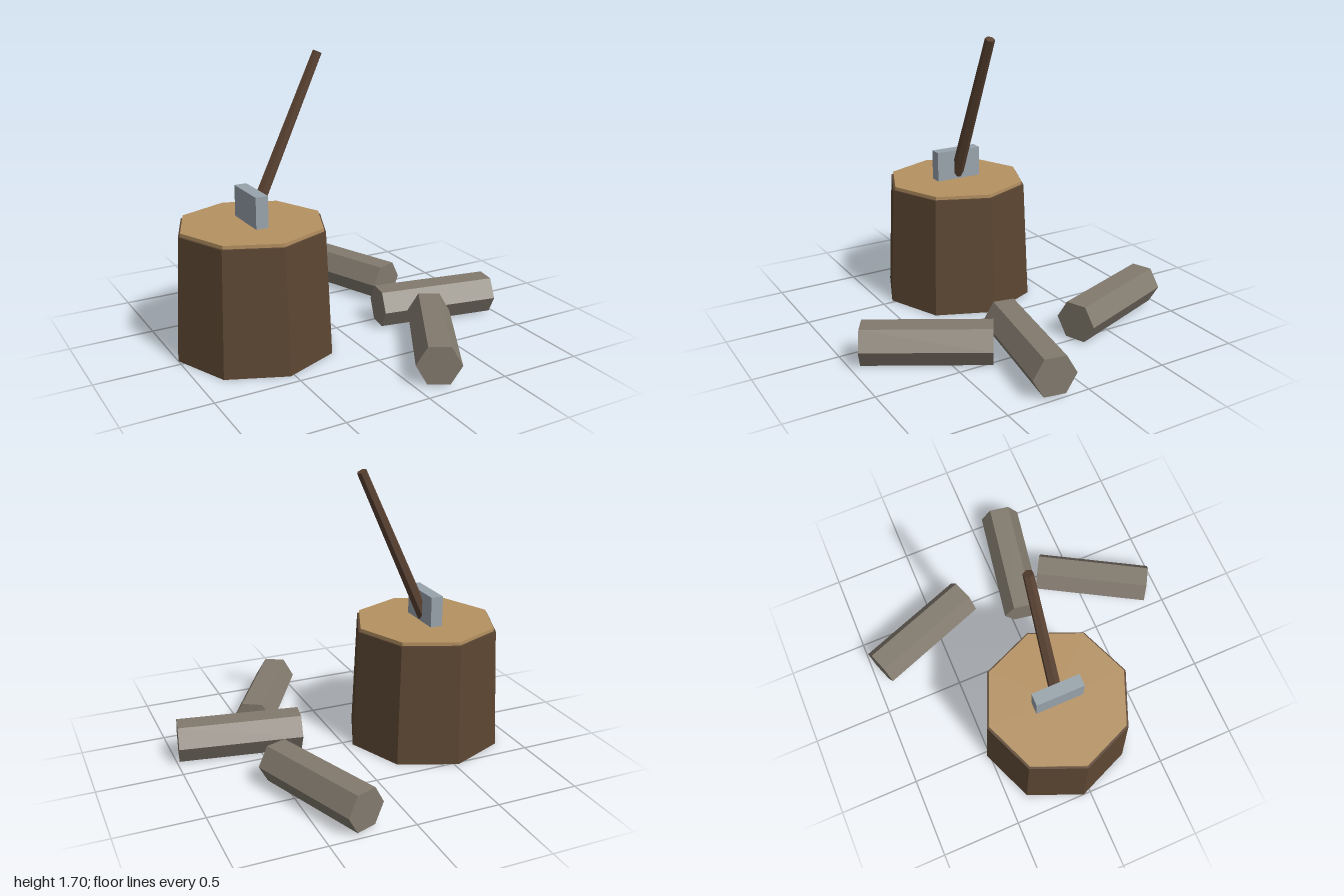
import * as THREE from 'three';

const flat = (name, color) => {
  const m = new THREE.MeshStandardMaterial({ color, flatShading: true });
  m.name = name;
  return m;
};

export function createModel() {
  const model = new THREE.Group();
  model.name = 'choppingBlock';
  const bark = flat('bark', 0x5c4632);
  const cutWood = flat('cutWood', 0xb59161);
  const steel = flat('steel', 0x98a3ab);
  const firewood = flat('firewood', 0x827a6e);
  const handleWood = flat('handleWood', 0x5a4232);

  const add = (name, geometry, material, parent = model) => {
    const mesh = new THREE.Mesh(geometry, material);
    mesh.name = name;
    parent.add(mesh);
    return mesh;
  };

  // Stump with its cut top
  const block = new THREE.Group();
  block.name = 'stumpAndAxe';
  block.position.set(-0.525, 0, -0.045);
  model.add(block);
  add('stump', new THREE.CylinderGeometry(0.44, 0.475, 0.735, 8), bark, block).position.y = 0.3675;
  add('stumpTop', new THREE.CylinderGeometry(0.427, 0.427, 0.03, 8), cutWood, block).position.y = 0.74;

  // Axe head stuck in the stump
  add('axeHead', new THREE.BoxGeometry(0.075, 0.2, 0.295), steel, block).position.y = 0.84;

  // Tapered six-sided handle, one edge facing sideways, leaning to +x
  const length = 1.0;
  const lean = 0.43;
  const handle = new THREE.CylinderGeometry(0.03, 0.039, length, 6);
  handle.rotateY(Math.PI / 2);
  handle.translate(0, -length / 2, 0);
  const axeHandle = add('axeHandle', handle, handleWood, block);
  axeHandle.position.set(0.427, 1.69, 0);
  axeHandle.rotation.z = -lean;

  // Six-sided logs lying flat side up: x, z, heading from the x axis in degrees
  const logShape = new THREE.CylinderGeometry(0.1265, 0.1265, 0.734, 6);
  logShape.rotateZ(Math.PI / 2);
  // Turn corners to the sides so a flat face is on top
  const logs = [
    ['backLog', 0.3925, -0.599, -70],
    ['middleLog', 0.615, 0.136, -10],
    ['frontLog', 0.3025, 0.597, 60],
  ];
  for (const [name, x, z, heading] of logs) {
    const log = add(name, logShape, firewood);
    log.position.set(x, 0.12, z);
    log.rotation.y = THREE.MathUtils.degToRad(heading);
  }
  return model;
}
